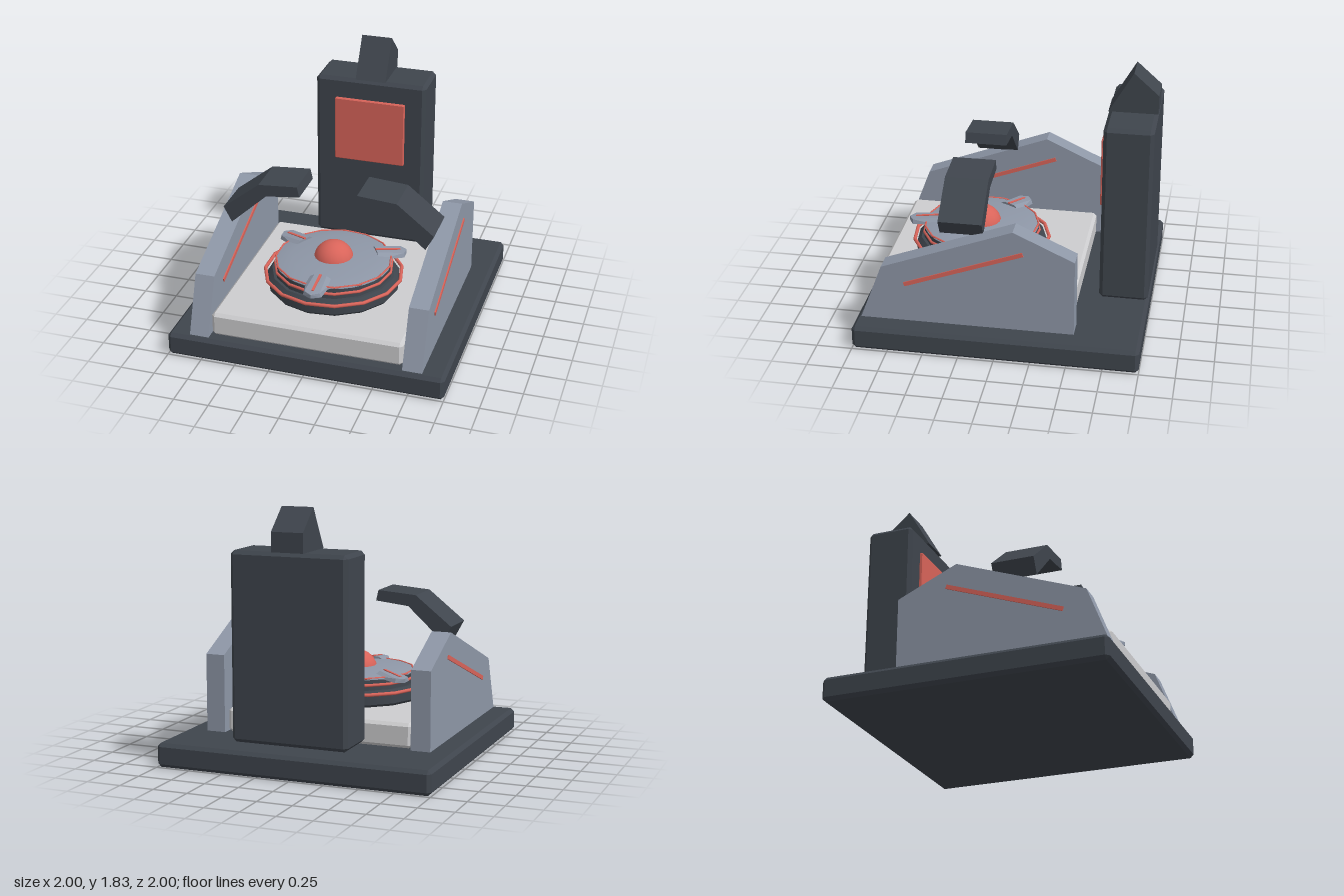
import * as THREE from 'three';
import { ConvexGeometry } from 'three/addons/geometries/ConvexGeometry.js';

const mat = (name, color) => {
  const m = new THREE.MeshStandardMaterial({ color });
  m.name = name;
  return m;
};

// Box with all edges chamfered by c, given by its limits
function chamferBox(x0, x1, y0, y1, z0, z1, c) {
  const half = [(x1 - x0) / 2, (y1 - y0) / 2, (z1 - z0) / 2];
  const pts = [];
  for (const sx of [-1, 1]) for (const sy of [-1, 1]) for (const sz of [-1, 1]) {
    for (let axis = 0; axis < 3; axis++) {
      const p = half.map((h, i) => (i === axis ? h : h - c));
      pts.push(new THREE.Vector3(p[0] * sx, p[1] * sy, p[2] * sz));
    }
  }
  return new ConvexGeometry(pts).translate((x0 + x1) / 2, (y0 + y1) / 2, (z0 + z1) / 2);
}

// Outline extruded to a depth, centred on its own z
function plate(points, depth) {
  const shape = new THREE.Shape(points.map(([x, y]) => new THREE.Vector2(x, y)));
  return new THREE.ExtrudeGeometry(shape, { depth, bevelEnabled: false }).translate(0, 0, -depth / 2);
}

// The same for a (z, y) outline seen from the side
const sidePlate = (points, width) => plate(points, width).rotateY(-Math.PI / 2);

export function createModel() {
  const model = new THREE.Group();
  const dark = mat('charcoal', 0x3f454d);
  const steel = mat('blueGrey', 0x8e97a7);
  const pale = mat('paleGrey', 0xcdcdcf);
  const red = mat('coralRed', 0xd9645a);

  const add = (name, geometry, material, parent = model) => {
    const mesh = new THREE.Mesh(geometry, material);
    mesh.name = name;
    parent.add(mesh);
    return mesh;
  };

  // Base, platform and rear tower
  add('base', chamferBox(-1, 1, 0, 0.172, -1, 1, 0.025), dark);
  add('platform', chamferBox(-0.69, 0.69, 0.172, 0.347, -0.505, 0.925, 0.022), pale);
  add('tower', chamferBox(-0.42, 0.42, 0.235, 1.54, -1, -0.655, 0.026), dark);
  add('screen', chamferBox(-0.267, 0.267, 0.89, 1.385, -0.66, -0.63, 0.006), red);
  add('towerCap', sidePlate([[-0.655, 1.54], [-1, 1.54], [-1, 1.675], [-0.825, 1.83]], 0.228), dark);

  // Side walls with their slanted light strips, and the arms above
  const wall = [[0.965, 0.17], [0.81, 0.58], [-0.11, 0.925], [-0.535, 0.73], [-0.535, 0.17]];
  const arm = [[0.2, 1.08], [0.445, 1.053], [0.707, 0.812], [0.767, 0.923], [0.5, 1.135], [0.217, 1.157]];
  for (const [side, s] of [['left', 1], ['right', -1]]) {
    add(side + 'Wall', sidePlate(wall, 0.14), steel).position.x = 0.77 * s;
    const strip = add(side + 'WallStrip', new THREE.BoxGeometry(0.156, 0.03, 0.884), red);
    strip.position.set(0.77 * s, 0.612, 0.235);
    strip.rotation.x = 0.352;
    const outline = arm.map(([x, y]) => [x * s, y]);
    add(side + 'Arm', plate(outline, 0.305), dark).position.z = 0.267;
  }

  // Round pad on the platform
  const pad = new THREE.Group();
  pad.name = 'pad';
  pad.position.z = 0.262;
  model.add(pad);
  const SIDES = 15;
  const disc = (name, rTop, rBottom, y0, y1, material) =>
    add(name, new THREE.CylinderGeometry(rTop, rBottom, y1 - y0, SIDES)
      .rotateY(Math.PI / 2).translate(0, (y0 + y1) / 2, 0), material, pad);
  disc('padFoot', 0.476, 0.46, 0.345, 0.365, dark);
  disc('padBody', 0.476, 0.476, 0.365, 0.425, dark);
  disc('padShoulder', 0.445, 0.476, 0.425, 0.46, dark);
  disc('padNeck', 0.415, 0.425, 0.455, 0.54, dark);
  for (const [name, radius, tube, y] of [
    ['lowerRing', 0.494, 0.013, 0.443], ['middleRing', 0.422, 0.011, 0.497], ['upperRing', 0.416, 0.007, 0.546]]) {
    add(name, new THREE.TorusGeometry(radius, tube, 8, SIDES).rotateX(Math.PI / 2), red, pad).position.y = y;
  }

  // Shallow cover and the central dome
  const cover = [[0.418, 0.535], [0.418, 0.545], [0.3, 0.562], [0.15, 0.574], [0, 0.578]];
  add('padCover', new THREE.LatheGeometry(cover.map(([r, y]) => new THREE.Vector2(r, y)), 30), steel, pad);
  add('dome', new THREE.SphereGeometry(0.145, 18, 8, 0, Math.PI * 2, 0, Math.PI / 2), red, pad).position.y = 0.537;

  // Three pointed fins with a light strip each
  const fin = [[0.1, 0.545, 0.31], [0.045, 0.577, 0.31], [0.066, 0.52, 0.505], [0.055, 0.551, 0.505],
    [0, 0.52, 0.54], [0, 0.549, 0.54]];
  const finPoints = fin.flatMap(([x, y, z]) => [new THREE.Vector3(x, y, z), new THREE.Vector3(-x, y, z)]);
  for (let i = 0; i < 3; i++) {
    const group = new THREE.Group();
    group.name = 'fin' + (i + 1);
    group.rotation.y = i * Math.PI * 2 / 3;
    pad.add(group);
    add('finBody', new ConvexGeometry(finPoints), steel, group);
    const strip = add('finStrip', new THREE.BoxGeometry(0.018, 0.012, 0.185), red, group);
    strip.position.set(0, 0.566, 0.4);
    strip.rotation.x = 0.133;
  }
  return model;
}
